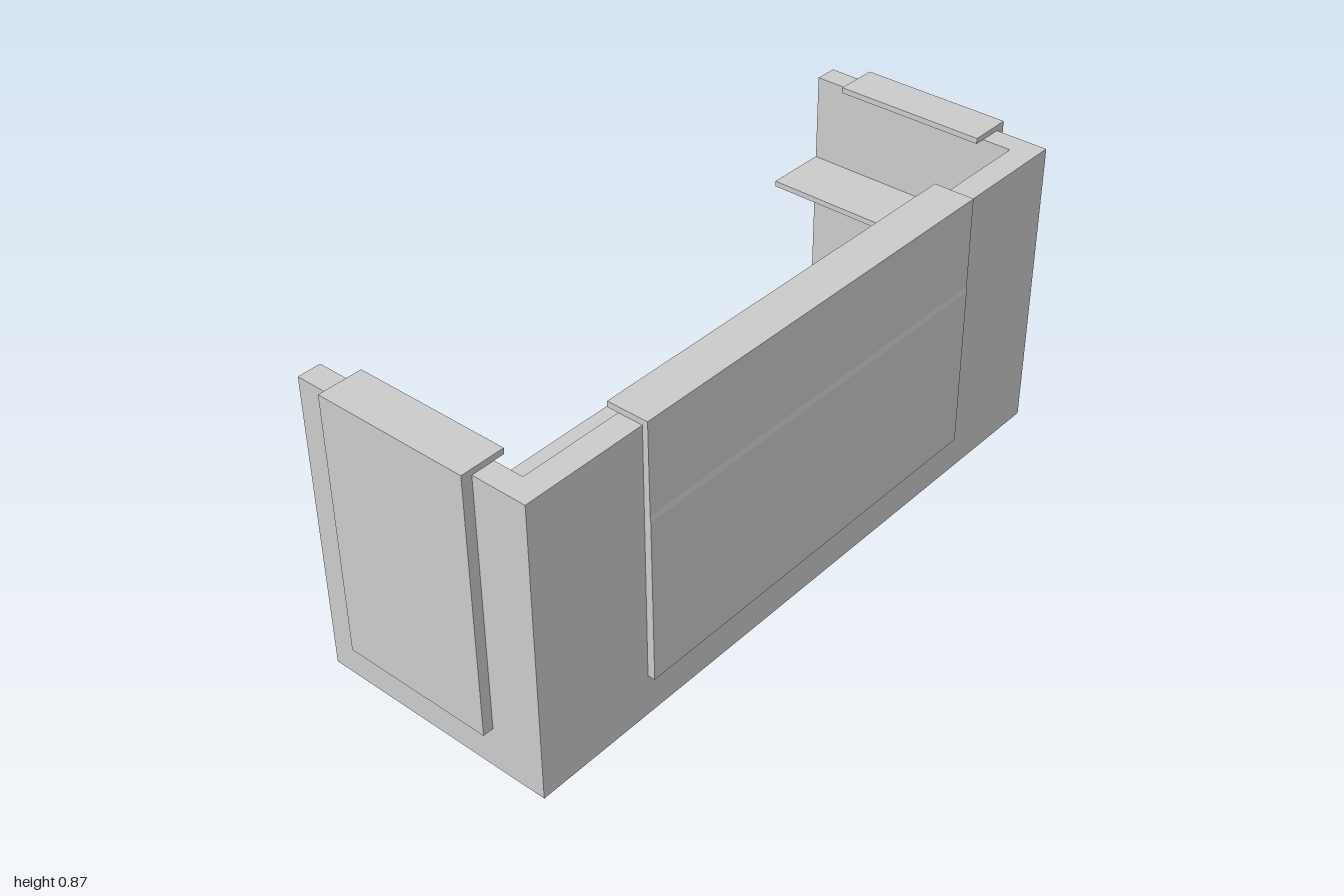
import * as THREE from 'three';

const material = new THREE.MeshStandardMaterial({ color: 0xcccccc, flatShading: true });

// Extrude a closed outline of [a, b] points along its local z.
function extrude(points, depth) {
  const shape = new THREE.Shape(points.map(([a, b]) => new THREE.Vector2(a, b)));
  return new THREE.ExtrudeGeometry(shape, { depth, bevelEnabled: false });
}

// U-shaped slab in plan, open to the back, between two heights.
function uSlab(name, outerX, outerZ, innerX, innerZ, backZ, y0, y1) {
  const outline = [
    [-outerX, -outerZ], [outerX, -outerZ], [outerX, -backZ], [innerX, -backZ],
    [innerX, -innerZ], [-innerX, -innerZ], [-innerX, -backZ], [-outerX, -backZ],
  ];
  const geometry = extrude(outline, y1 - y0).rotateX(-Math.PI / 2).translate(0, y0, 0);
  const mesh = new THREE.Mesh(geometry, material);
  mesh.name = name;
  return mesh;
}

// Cladding panel that folds over the wall top; profile is [outward, up], centred on its width.
function foldedPanel(name, profile, width) {
  const geometry = extrude(profile, width).translate(0, 0, -width / 2).rotateY(-Math.PI / 2);
  const mesh = new THREE.Mesh(geometry, material);
  mesh.name = name;
  return mesh;
}

export function createModel() {
  const group = new THREE.Group();
  group.name = 'receptionDesk';

  const wallX = 0.97, wallFront = 0.34, back = -0.36, wallTop = 0.854;
  const innerX = 0.905, innerFront = 0.27;
  const capTop = 0.87, panelBottom = 0.122;

  // Walls and work surface
  group.add(uSlab('walls', wallX, wallFront, innerX, innerFront, back, 0, wallTop));
  group.add(uSlab('worktop', innerX, innerFront, 0.722, 0, back, 0.59, 0.606));

  // Front panel, with a shallow step across its face
  group.add(foldedPanel('frontPanel', [
    [wallFront, panelBottom], [0.361, panelBottom], [0.3585, 0.594], [0.357, 0.612],
    [0.355, capTop], [0.238, capTop], [0.238, wallTop], [wallFront, wallTop],
  ], 1.224));

  // Side panels
  const sideProfile = [
    [wallX, panelBottom], [1, panelBottom], [1, capTop],
    [0.875, capTop], [0.875, wallTop], [wallX, wallTop],
  ];
  for (const side of [1, -1]) {
    const panel = foldedPanel(side > 0 ? 'leftSidePanel' : 'rightSidePanel', sideProfile, 0.442);
    panel.rotation.y = side * Math.PI / 2;
    panel.position.z = -0.035;
    group.add(panel);
  }
  return group;
}
